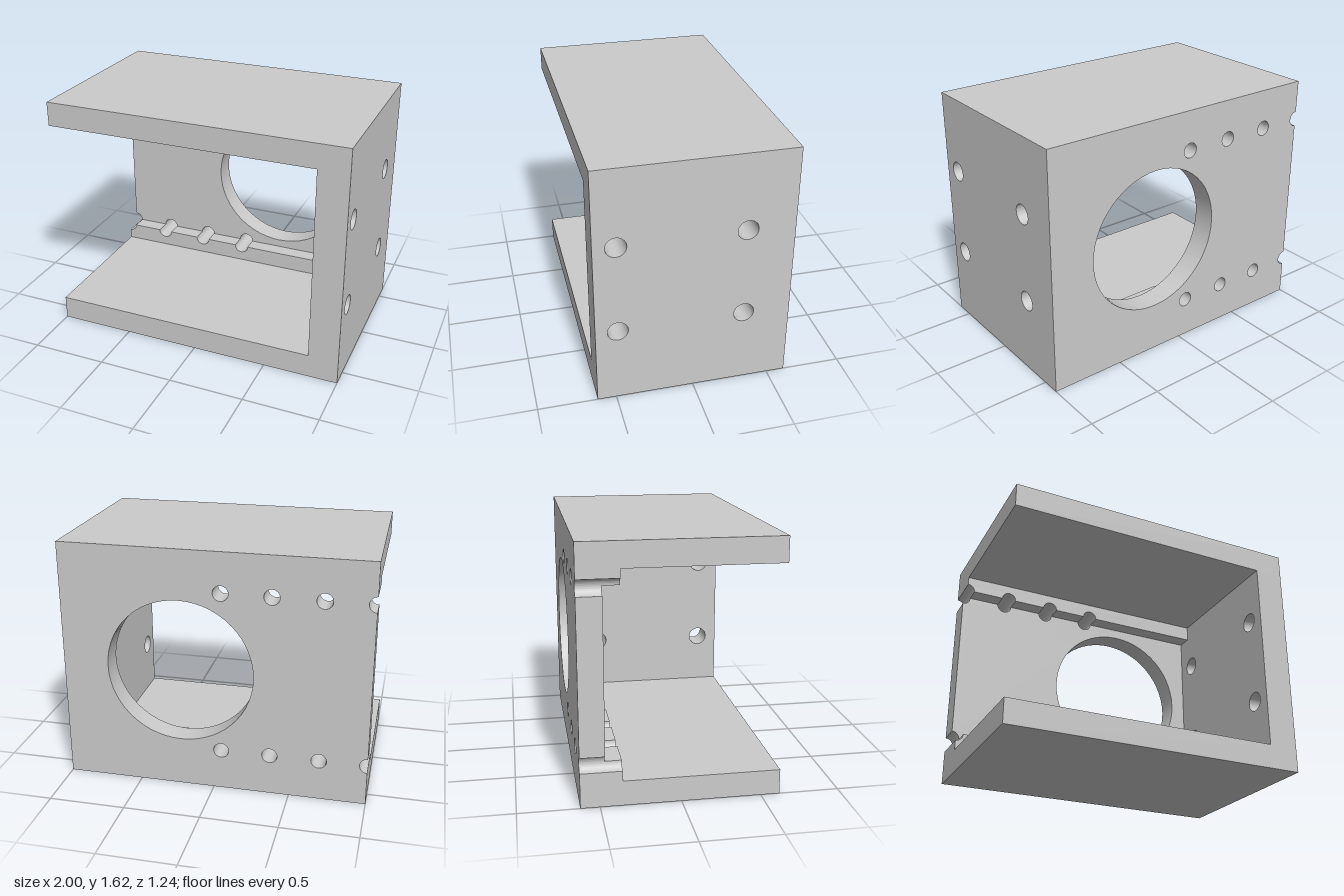
import * as THREE from 'three';
import { toCreasedNormals } from 'three/addons/utils/BufferGeometryUtils.js';

const material = new THREE.MeshStandardMaterial({ color: 0xcccccc });

// Overall sizes
const H = 1.62, D = 1.24, PLATE = 0.16, WALL_X = 0.8;
const BACK = -D / 2, BACK_INNER = -0.465, RAIL_FRONT = -0.36;

// Row of small holes along each rail of the back wall
const HOLE_R = 0.05, HOLE_XS = [-0.05, -0.37, -0.69];
const HOLE_LOW = 0.275, HOLE_HIGH = 1.355;

function circle(x, y, r) {
  return new THREE.Path().absarc(x, y, r, 0, Math.PI * 2, false);
}

function extrude(shape, depth) {
  const geo = new THREE.ExtrudeGeometry(shape, { depth, bevelEnabled: false, curveSegments: 28 });
  return toCreasedNormals(geo, 0.6);
}

function plate(name, y) {
  const mesh = new THREE.Mesh(new THREE.BoxGeometry(2, PLATE, D), material);
  mesh.position.y = y;
  mesh.name = name;
  return mesh;
}

// Side wall with four bolt holes, drawn with u = -z
function sideWall() {
  const s = new THREE.Shape();
  s.moveTo(-D / 2, PLATE).lineTo(D / 2, PLATE).lineTo(D / 2, H - PLATE).lineTo(-D / 2, H - PLATE);
  for (const u of [-0.48, 0.32]) for (const y of [0.51, 1.11]) s.holes.push(circle(u, y, 0.065));
  const mesh = new THREE.Mesh(extrude(s, 1 - WALL_X), material);
  mesh.rotation.y = Math.PI / 2;
  mesh.position.x = WALL_X;
  mesh.name = 'sideWall';
  return mesh;
}

// Back wall with one large opening, small holes and half holes on its free end
function backWall() {
  const s = new THREE.Shape();
  s.moveTo(-1, PLATE).lineTo(WALL_X, PLATE).lineTo(WALL_X, H - PLATE).lineTo(-1, H - PLATE);
  for (const y of [HOLE_HIGH, HOLE_LOW]) {
    s.lineTo(-1, y + HOLE_R);
    s.absarc(-1, y, HOLE_R, Math.PI / 2, -Math.PI / 2, true);
    for (const x of HOLE_XS) s.holes.push(circle(x, y, HOLE_R));
  }
  s.holes.push(circle(0.22, 0.81, 0.48));
  const mesh = new THREE.Mesh(extrude(s, BACK_INNER - BACK), material);
  mesh.position.z = BACK;
  mesh.name = 'backWall';
  return mesh;
}

// Rail inside the back wall, scalloped where the holes pass through its edge
function rail(name, yPlate, yEdge) {
  const low = yEdge > yPlate;
  const s = new THREE.Shape();
  s.moveTo(-1, yPlate).lineTo(WALL_X, yPlate).lineTo(WALL_X, yEdge);
  for (const x of HOLE_XS) {
    s.lineTo(x + HOLE_R, yEdge);
    s.absarc(x, yEdge, HOLE_R, 0, Math.PI, low);
  }
  s.lineTo(-1 + HOLE_R, yEdge);
  s.absarc(-1, yEdge, HOLE_R, 0, low ? -Math.PI / 2 : Math.PI / 2, low);
  const mesh = new THREE.Mesh(extrude(s, RAIL_FRONT - BACK_INNER), material);
  mesh.position.z = BACK_INNER;
  mesh.name = name;
  return mesh;
}

export function createModel() {
  const group = new THREE.Group();
  group.name = 'bracketHousing';
  group.add(
    plate('bottomPlate', PLATE / 2),
    plate('topPlate', H - PLATE / 2),
    sideWall(),
    backWall(),
    rail('lowerRail', PLATE, HOLE_LOW),
    rail('upperRail', H - PLATE, HOLE_HIGH)
  );
  return group;
}
